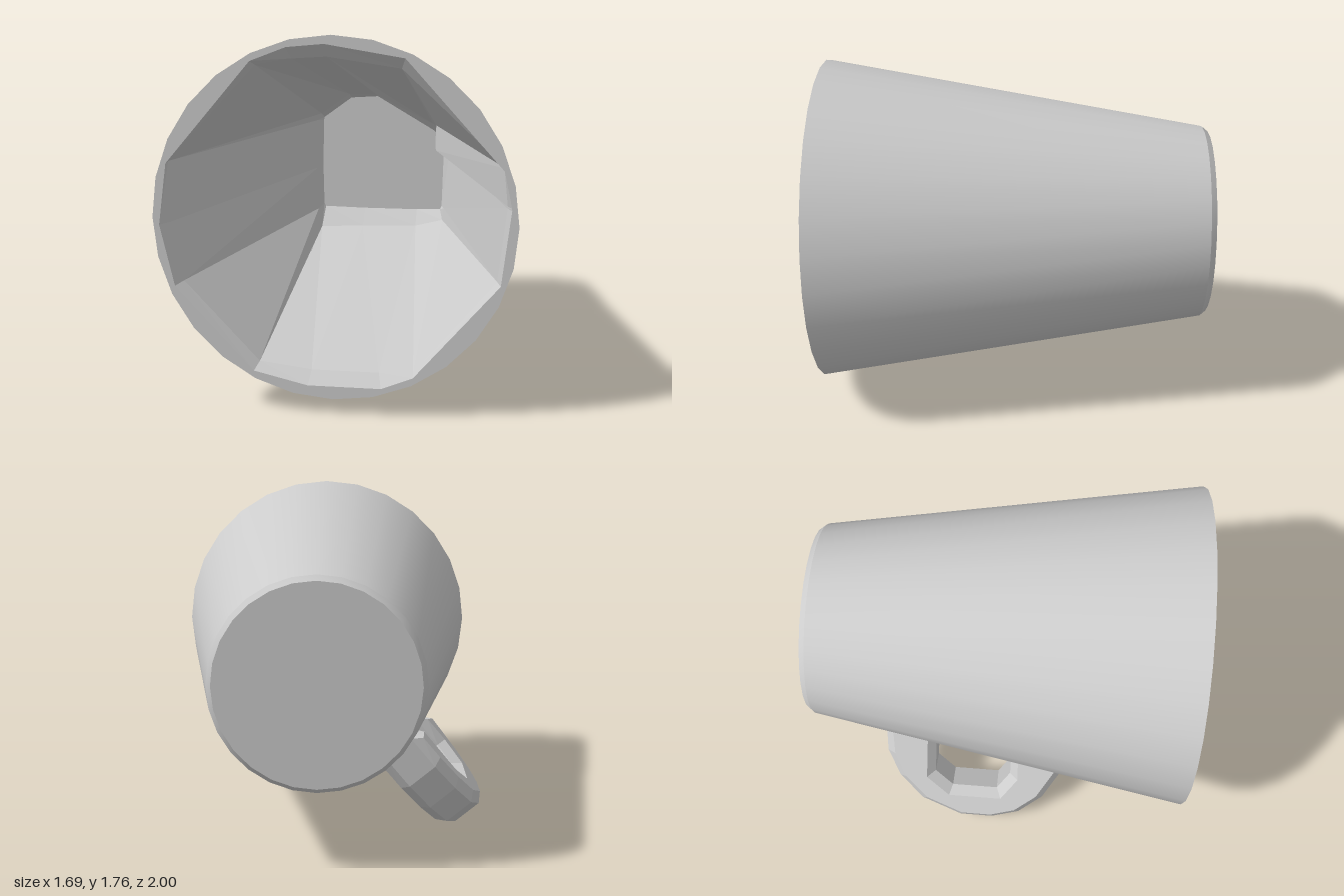
import * as THREE from 'three';
import { toCreasedNormals } from 'three/addons/utils/BufferGeometryUtils.js';

const CY = 0.915; // height of the cup's axis

// Inner wall corners, counter-clockwise seen from the mouth
const MOUTH = [[0.79, 0.99], [0.79, 1.0], [0.78, 1.17], [0.31, 1.61], [-0.03, 1.66], [-0.19, 1.65], [-0.36, 1.62],
  [-0.78, 1.17], [-0.78, 0.88], [-0.72, 0.6], [-0.36, 0.22], [-0.11, 0.19], [0.21, 0.19], [0.37, 0.2], [0.75, 0.65]];
// Where the wall panels end, and the smaller floor below the step
const STEP = [[0.41, 0.99], [0.33, 1.0], [0.33, 1.15], [0.31, 1.16], [-0.03, 1.33], [-0.19, 1.33], [-0.36, 1.21],
  [-0.38, 1.17], [-0.385, 0.88], [-0.38, 0.63], [-0.36, 0.52], [-0.11, 0.53], [0.21, 0.54], [0.37, 0.58], [0.38, 0.65]];
const FLOOR = [[0.37, 0.99], [0.32, 1.0], [0.32, 1.1], [0.31, 1.11], [-0.03, 1.31], [-0.19, 1.3], [-0.355, 1.18],
  [-0.36, 1.16], [-0.365, 0.88], [-0.36, 0.65], [-0.35, 0.63], [-0.11, 0.625], [0.21, 0.625], [0.35, 0.63], [0.36, 0.65]];

// The mouth widened to a thin lip, kept inside the outer wall
const LIP = MOUTH.map(([x, y]) => {
  const r = Math.hypot(x, y - CY);
  const k = Math.min(0.815, r * 1.08) / r;
  return [x * k, CY + (y - CY) * k];
});

const vectors = (pts) => pts.map(([x, y]) => new THREE.Vector2(x, y));

// Wall of flat panels through loops of equal length, facing the axis
function loft(loops) {
  const pos = [];
  for (let k = 0; k < loops.length - 1; k++) {
    const a = loops[k], b = loops[k + 1], n = a.pts.length;
    for (let i = 0; i < n; i++) {
      const j = (i + 1) % n;
      const ai = [...a.pts[i], a.z], aj = [...a.pts[j], a.z];
      const bi = [...b.pts[i], b.z], bj = [...b.pts[j], b.z];
      pos.push(...ai, ...aj, ...bi, ...aj, ...bj, ...bi);
    }
  }
  const geo = new THREE.BufferGeometry();
  geo.setAttribute('position', new THREE.Float32BufferAttribute(pos, 3));
  geo.computeVertexNormals();
  return geo;
}

export function createModel() {
  const model = new THREE.Group();
  model.name = 'mug';
  const smooth = new THREE.MeshStandardMaterial({ color: 0xcccccc });
  const faceted = new THREE.MeshStandardMaterial({ color: 0xcccccc, flatShading: true, side: THREE.DoubleSide });
  const add = (name, geo, mat) => {
    const mesh = new THREE.Mesh(geo, mat);
    mesh.name = name;
    model.add(mesh);
  };

  // Tapered outer wall with a narrow chamfer and a closed base
  const SIDES = 28;
  const profile = vectors([[0, -1], [0.485, -1], [0.51, -0.97], [0.845, 1]]);
  const shell = new THREE.LatheGeometry(profile, SIDES);
  shell.rotateX(Math.PI / 2).translate(0, CY, 0);
  add('outerWall', toCreasedNormals(shell, 0.45), smooth);

  // Flat rim between the outer circle and the lip
  const circle = Array.from({ length: SIDES }, (_, i) => {
    const a = (i / SIDES) * Math.PI * 2;
    return [0.845 * Math.sin(a), CY + 0.845 * Math.cos(a)];
  });
  const rim = new THREE.Shape(vectors(circle));
  rim.holes.push(new THREE.Path(vectors(LIP)));
  add('rim', new THREE.ShapeGeometry(rim).translate(0, 0, 1), faceted);

  // Panelled inside, from the lip over the step to the floor
  add('innerWall', loft([{ pts: LIP, z: 1 }, { pts: MOUTH, z: 0.94 }, { pts: STEP, z: -0.7 }, { pts: FLOOR, z: -0.78 }]), faceted);
  add('innerFloor', new THREE.ShapeGeometry(new THREE.Shape(vectors(FLOOR))).translate(0, 0, -0.78), faceted);

  // Handle: open loop drawn as (z, distance from the axis), bevelled edges
  const outline = new THREE.Shape(vectors([
    [0.39, 0.72], [0.38, 0.78], [0.28, 0.98], [0.15, 1.1], [0, 1.15], [-0.18, 1.15], [-0.4, 1.05], [-0.53, 0.9], [-0.6, 0.73], [-0.61, 0.54],
    [-0.33, 0.57], [-0.33, 0.7], [-0.33, 0.85], [-0.23, 0.94], [0.02, 0.94], [0.09, 0.83], [0.09, 0.64]]));
  const bevel = 0.045, width = 0.25;
  const handleGeo = new THREE.ExtrudeGeometry(outline, {
    depth: width - 2 * bevel, bevelThickness: bevel, bevelSize: bevel, bevelOffset: -bevel, bevelSegments: 1,
  }).translate(0, 0, bevel - width / 2);
  const out = new THREE.Vector3(-0.64, -0.77, 0).normalize();
  const along = new THREE.Vector3(0, 0, 1);
  const across = new THREE.Vector3().crossVectors(along, out);
  handleGeo.applyMatrix4(new THREE.Matrix4().makeBasis(along, out, across).setPosition(-0.045, 0.935, 0));
  add('handle', handleGeo, faceted);

  return model;
}
